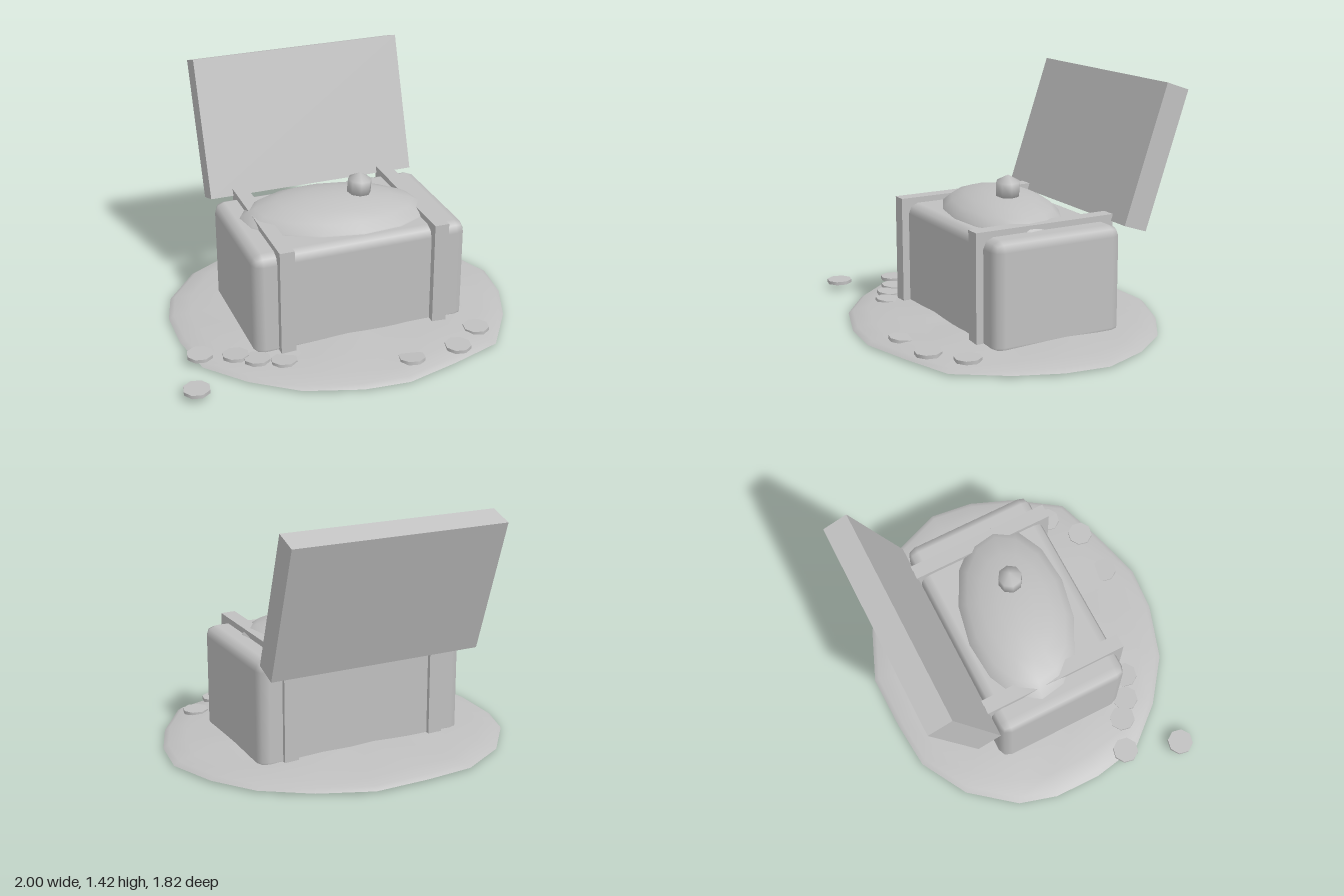
import * as THREE from 'three';
import { RoundedBoxGeometry } from 'three/addons/geometries/RoundedBoxGeometry.js';

const stone = new THREE.MeshStandardMaterial({ color: 0xc0c0c0 });
stone.name = 'light grey';

function add(parent, name, geometry, x = 0, y = 0, z = 0) {
  const mesh = new THREE.Mesh(geometry, stone);
  mesh.name = name;
  mesh.position.set(x, y, z);
  parent.add(mesh);
  return mesh;
}

// Irregular low mound: the outline is repeated in shrinking, rising rings
function moundGeometry() {
  const outline = [
    [0, -0.88], [0.32, -0.82], [0.61, -0.7], [0.82, -0.51], [0.98, -0.26], [1, 0], [0.95, 0.27],
    [0.82, 0.575], [0.55, 0.73], [0.26, 0.875], [0, 0.905], [-0.33, 0.865], [-0.61, 0.73],
    [-0.84, 0.55], [-0.95, 0.27], [-1, 0], [-0.98, -0.23], [-0.83, -0.52], [-0.59, -0.73], [-0.32, -0.81],
  ];
  const n = outline.length;
  // [scale, height]; the rim is doubled for a sharp edge
  const rings = [[0, 0.01], [1, 0.01], [1, 0.01], [0.97, 0.03], [0.87, 0.046], [0.7, 0.058], [0.4, 0.07], [0, 0.072]];
  const positions = [], index = [];
  rings.forEach(([s, y], r) => {
    outline.forEach(([x, z], i) => {
      const ripple = r > 3 ? 0.005 * Math.sin(i * 2.1 + r) : 0;
      positions.push(x * s, y + ripple, z * s);
    });
    if (r === 0 || r === 2) return;
    for (let i = 0; i < n; i++) {
      const a = (r - 1) * n + i, b = (r - 1) * n + (i + 1) % n;
      index.push(a, a + n, b, b, a + n, b + n);
    }
  });
  const g = new THREE.BufferGeometry();
  g.setAttribute('position', new THREE.Float32BufferAttribute(positions, 3));
  g.setIndex(index);
  g.computeVertexNormals();
  return g;
}

export function createModel() {
  const model = new THREE.Group();
  model.name = 'treasureChest';

  add(model, 'groundMound', moundGeometry());

  // Chest, turned slightly on the mound
  const chest = new THREE.Group();
  chest.name = 'chest';
  chest.position.z = 0.015;
  chest.rotation.y = 0.2;
  model.add(chest);

  add(chest, 'chestBody', new RoundedBoxGeometry(1.27, 0.64, 0.8, 1, 0.06), 0, 0.326, 0);
  for (const side of [-1, 1]) {
    add(chest, side < 0 ? 'rightStrap' : 'leftStrap',
      new THREE.BoxGeometry(0.085, 0.68, 0.868), side * 0.457, 0.34, 0.01);
  }
  const lid = add(chest, 'openLid', new THREE.BoxGeometry(1.27, 0.82, 0.15), 0, 1.005, -0.616);
  lid.rotation.x = -0.33;

  // Heap of treasure with a gem on top
  const heap = add(model, 'treasureHeap', new THREE.SphereGeometry(1, 14, 10), -0.02, 0.6, 0.02);
  heap.scale.set(0.57, 0.17, 0.335);
  const gem = add(model, 'gem', new THREE.SphereGeometry(0.08, 8, 3), 0.125, 0.805, 0.025);
  gem.rotation.z = -0.08;

  // Scattered coins: [x, z, height, tilt]
  const coins = [
    [-0.89, 0.81, 0.045, 0], [-0.85, 0.475, 0.048, 0], [0.735, 0.445, 0.05, 0], [0.585, 0.62, 0.05, 0],
    [-0.655, 0.515, 0.05, 0.08], [-0.54, 0.57, 0.048, 0.08], [-0.395, 0.61, 0.048, 0.1], [0.305, 0.695, 0.045, 0.12],
  ];
  for (const [x, z, y, tilt] of coins) {
    const coin = add(model, 'coin', new THREE.CylinderGeometry(0.076, 0.076, 0.02, 8), x, y, z);
    coin.rotation.set(-tilt, Math.PI / 8, 0);
  }
  return model;
}
